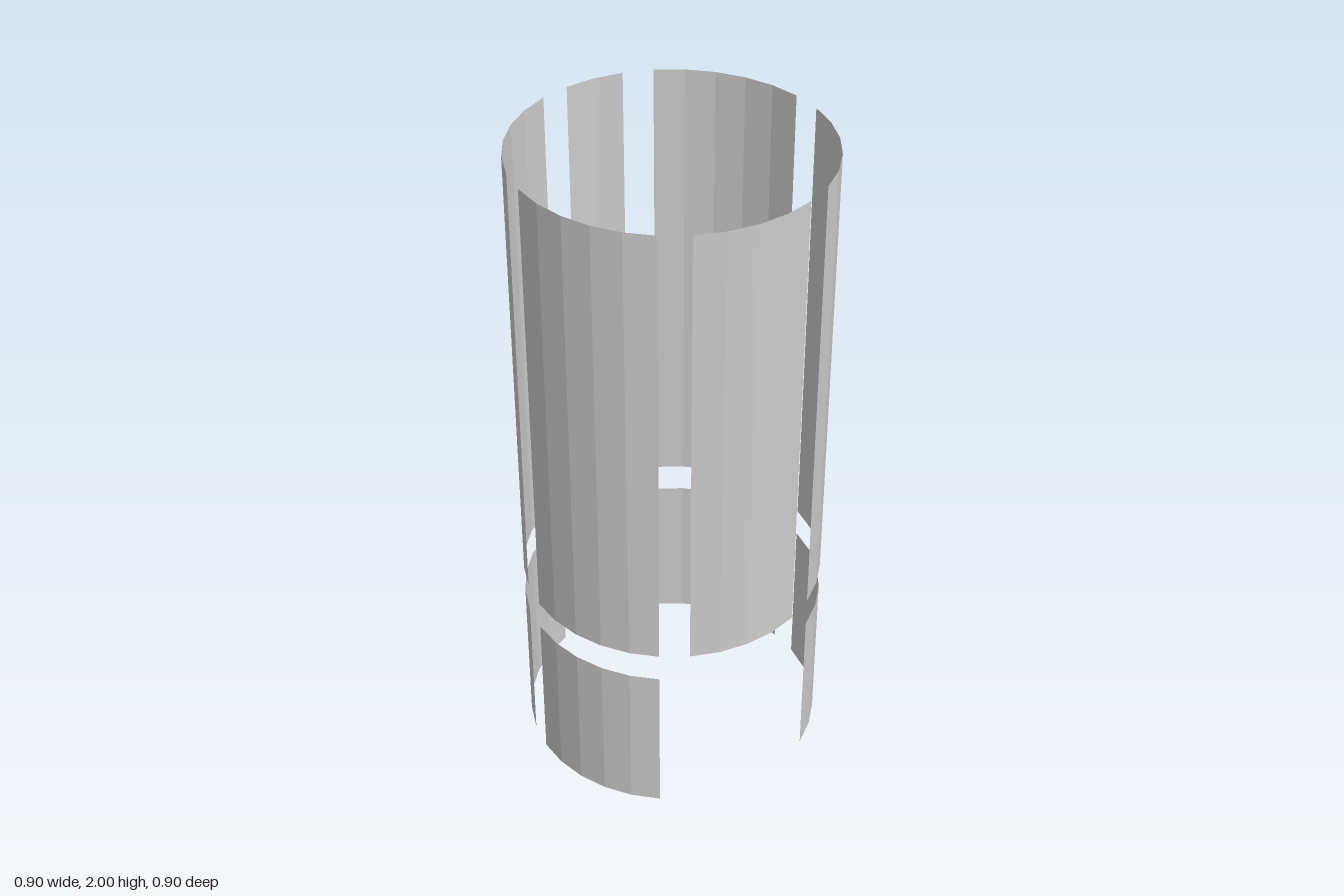
import * as THREE from 'three';

const RADIUS = 0.452;
const STEP = Math.PI / 16; // 32 facets around the full ring

export function createModel() {
  const model = new THREE.Group();
  model.name = 'panelledCylinder';

  const material = new THREE.MeshStandardMaterial({
    color: 0xcccccc, flatShading: true, side: THREE.DoubleSide,
  });

  // Thin curved panel; facets are counted from the front (+z) towards +x
  function addPanel(parent, name, first, count, bottom, top) {
    const geometry = new THREE.CylinderGeometry(
      RADIUS, RADIUS, top - bottom, count, 1, true, first * STEP, count * STEP);
    const panel = new THREE.Mesh(geometry, material);
    panel.name = name;
    panel.position.y = (bottom + top) / 2;
    parent.add(panel);
  }

  // Two rings of panels, with one-facet gaps between neighbours
  const rings = [
    { name: 'lower', bottom: 0, top: 0.498 },
    { name: 'upper', bottom: 0.587, top: 2 },
  ];
  for (const { name, bottom, top } of rings) {
    const ring = new THREE.Group();
    ring.name = name + 'Ring';
    addPanel(ring, name + 'LeftFrontPanel', 3, 5, bottom, top);
    addPanel(ring, name + 'LeftBackPanel', 9, 5, bottom, top);
    addPanel(ring, name + 'BackPanel', 15, 2, bottom, top);
    addPanel(ring, name + 'RightBackPanel', 18, 5, bottom, top);
    addPanel(ring, name + 'RightFrontPanel', 24, 5, bottom, top);
    // The lower ring stays open at the front as a doorway
    if (name === 'upper') addPanel(ring, 'upperFrontPanel', -2, 4, bottom, top);
    model.add(ring);
  }

  return model;
}
